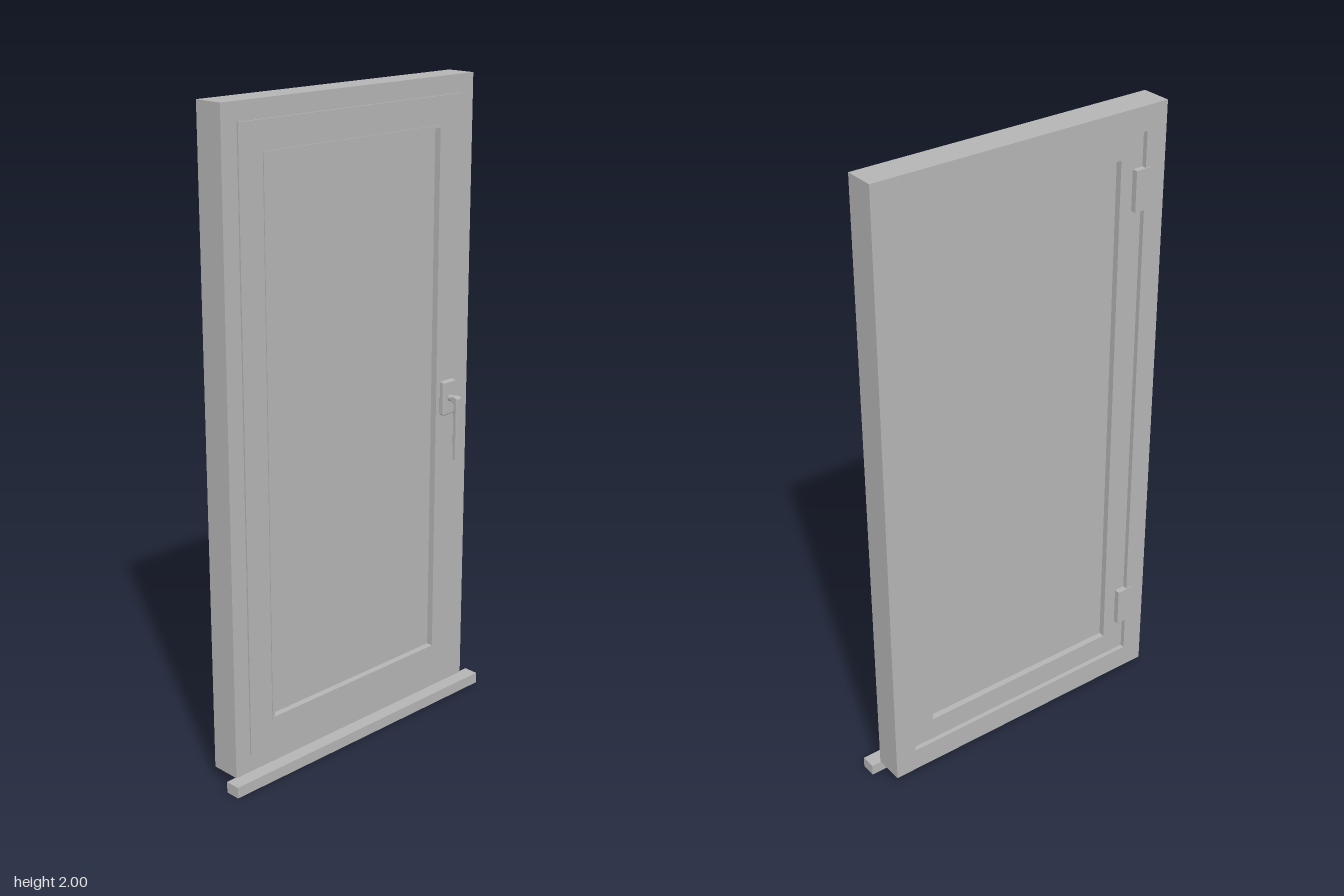
import * as THREE from 'three';
import { RoundedBoxGeometry } from 'three/addons/geometries/RoundedBoxGeometry.js';

export function createModel() {
  const model = new THREE.Group();
  model.name = 'window';
  const grey = new THREE.MeshStandardMaterial({ color: 0xb4b4b4 });
  grey.name = 'grey';

  function add(name, geometry, parent = model) {
    const mesh = new THREE.Mesh(geometry, grey);
    mesh.name = name;
    parent.add(mesh);
    return mesh;
  }
  // box given by its limits on each axis
  function box(x0, x1, y0, y1, z0, z1) {
    return new THREE.BoxGeometry(x1 - x0, y1 - y0, z1 - z0)
      .translate((x0 + x1) / 2, (y0 + y1) / 2, (z0 + z1) / 2);
  }
  function rectangle(path, w, y0, y1) {
    return path.moveTo(-w, y0).lineTo(w, y0).lineTo(w, y1).lineTo(-w, y1).closePath();
  }
  // rectangular ring: half width, bottom and top of the outside and the hole
  function ring(outer, hole, z0, z1) {
    const shape = rectangle(new THREE.Shape(), ...outer);
    shape.holes.push(rectangle(new THREE.Path(), ...hole));
    return new THREE.ExtrudeGeometry(shape, { depth: z1 - z0, bevelEnabled: false }).translate(0, 0, z0);
  }

  // fixed frame, opening sash and glazing
  const rebate = [0.42, 0.11, 1.925];
  const opening = [0.342, 0.185, 1.852];
  add('frame', ring([0.49, 0.035, 2], rebate, -0.08, 0.016));
  add('sash', ring(rebate, opening, -0.065, 0.016));
  add('sashOverlap', ring([0.435, 0.092, 1.945], opening, 0.016, 0.021));
  add('glazingBead', ring([0.35, 0.177, 1.86], opening, 0.021, 0.024));
  add('glass', box(-0.342, 0.342, 0.185, 1.852, -0.045, 0.003));

  // sill along the bottom front edge
  add('sill', box(-0.523, 0.523, 0, 0.035, 0.012, 0.06));

  // hinges on the back
  for (const y of [0.29, 1.753]) {
    add('hinge', box(-0.44, -0.385, y - 0.063, y + 0.063, -0.083, -0.06));
  }

  // handle: rose plate, neck and bent lever
  const handle = new THREE.Group();
  handle.name = 'handle';
  handle.position.set(0.386, 1.02, 0);
  model.add(handle);
  add('handlePlate', new RoundedBoxGeometry(0.055, 0.11, 0.02, 3, 0.006).translate(0, 0, 0.031), handle);
  add('handleNeck', new THREE.CylinderGeometry(0.01, 0.01, 0.03, 20)
    .rotateX(Math.PI / 2).translate(0, 0, 0.053), handle);

  // side profile of the lever, drawn with z across and y up
  const side = new THREE.Shape();
  side.moveTo(0.056, 0.01).lineTo(0.07, 0.01);
  side.quadraticCurveTo(0.08, 0.01, 0.08, 0);
  side.lineTo(0.08, -0.192).lineTo(0.066, -0.192).lineTo(0.066, -0.014);
  side.quadraticCurveTo(0.066, -0.01, 0.056, -0.01).closePath();
  const lever = new THREE.ExtrudeGeometry(side, {
    depth: 0.018, curveSegments: 8, bevelThickness: 0.003, bevelSize: 0.002, bevelOffset: -0.002, bevelSegments: 2,
  });
  lever.translate(0, 0, -0.009).rotateY(-Math.PI / 2);
  add('handleLever', lever, handle);

  return model;
}
